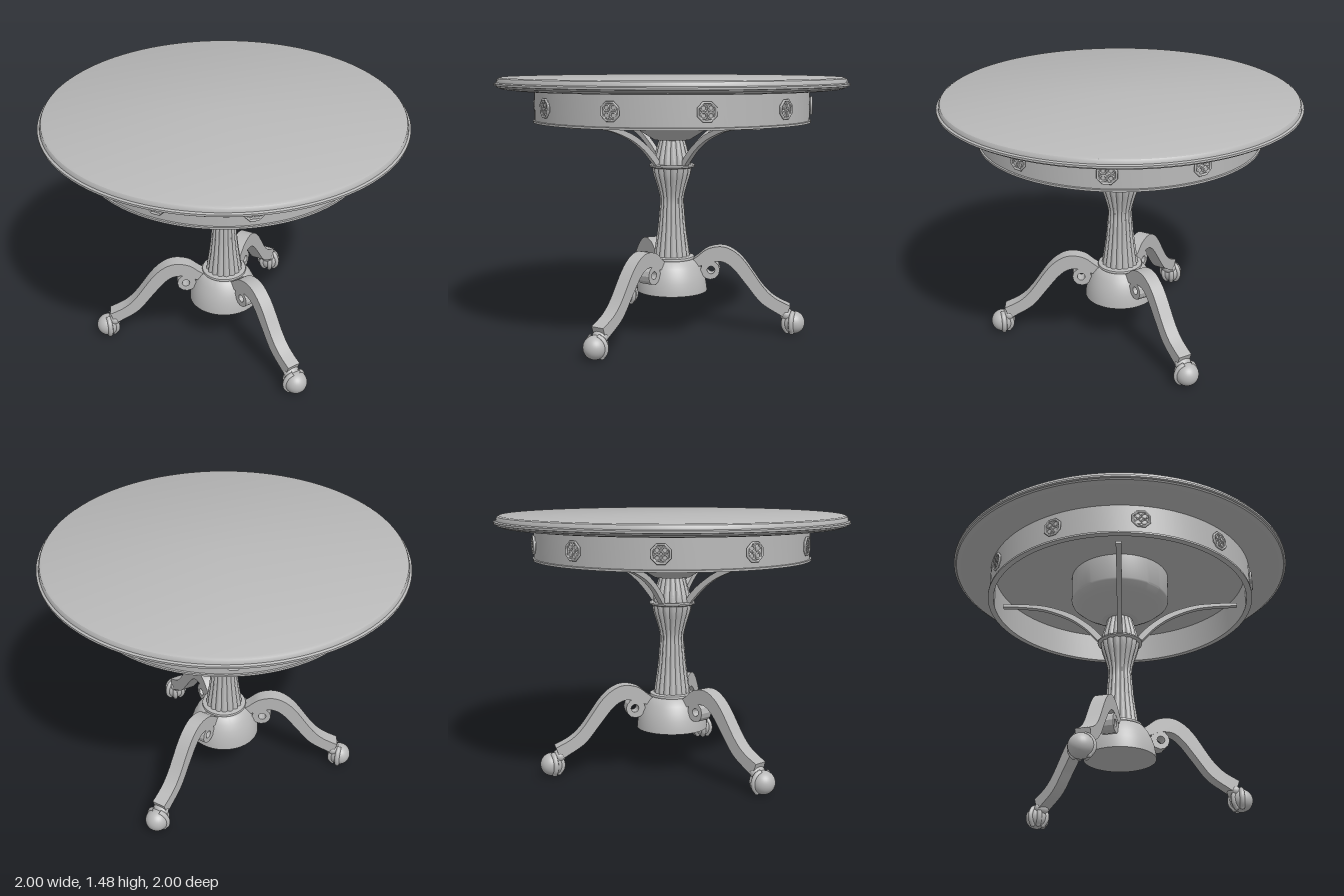
import * as THREE from 'three';
import { toCreasedNormals } from 'three/addons/utils/BufferGeometryUtils.js';

const wood = new THREE.MeshStandardMaterial({ color: 0xb8b8b8 });
wood.name = 'greyWood';

const vecs = (list) => list.map(([x, y]) => new THREE.Vector2(x, y));

function part(name, geometry, parent) {
  const mesh = new THREE.Mesh(geometry, wood);
  mesh.name = name;
  parent.add(mesh);
  return mesh;
}

// Turned part from [radius, height] pairs, listed from the bottom up
function turned(name, profile, parent) {
  return part(name, toCreasedNormals(new THREE.LatheGeometry(vecs(profile), 96), 0.5), parent);
}

// Flat plate of a shape, centred on its thickness
function plate(shape, width) {
  const geo = new THREE.ExtrudeGeometry(shape, { depth: width, bevelEnabled: false, curveSegments: 6 });
  geo.translate(0, 0, -width / 2);
  return toCreasedNormals(geo, 0.5);
}

// Curved bar between an upper and a returning lower edge
function curvedBar(upper, lower, width) {
  const shape = new THREE.Shape();
  shape.moveTo(...upper[0]);
  shape.splineThru(vecs(upper.slice(1)));
  shape.lineTo(...lower[0]);
  shape.splineThru(vecs(lower.slice(1)));
  shape.closePath();
  return plate(shape, width);
}

// Fluted shaft: a lathe whose radius ripples around the axis
function flutedShaft(name, controls, flutes, depth, parent) {
  const profile = new THREE.SplineCurve(vecs(controls)).getPoints(28);
  const geo = new THREE.LatheGeometry(profile, flutes * 8);
  const p = geo.attributes.position;
  for (let i = 0; i < p.count; i++) {
    const x = p.getX(i), z = p.getZ(i);
    const k = 1 - depth * (1 - Math.abs(Math.sin(Math.atan2(z, x) * flutes / 2)));
    p.setXYZ(i, x * k, p.getY(i), z * k);
  }
  part(name, toCreasedNormals(geo, 0.6), parent);
}

function createLeg() {
  const leg = new THREE.Group();
  leg.name = 'leg';
  part('legArch', curvedBar(
    [[0.1, 0.42], [0.15, 0.455], [0.21, 0.5], [0.29, 0.515], [0.36, 0.49], [0.43, 0.425],
      [0.53, 0.285], [0.6, 0.218], [0.69, 0.172]],
    [[0.665, 0.1], [0.62, 0.125], [0.52, 0.19], [0.43, 0.3], [0.36, 0.385], [0.3, 0.425],
      [0.23, 0.425], [0.17, 0.4], [0.1, 0.38]], 0.08), leg);

  // Scroll under the knee, with a small eye
  const ring = new THREE.Shape().absarc(0.225, 0.377, 0.056, 0, Math.PI * 2);
  ring.holes.push(new THREE.Path().absarc(0.23, 0.377, 0.023, 0, Math.PI * 2, true));
  part('legScroll', plate(ring, 0.078), leg);

  // Ball foot gripped by four claws from the inner side
  const c = new THREE.Vector3(0.71, 0.068, 0);
  part('footBall', new THREE.SphereGeometry(0.066, 32, 20), leg).position.copy(c);
  for (const azimuth of [-75, -26, 26, 75]) {
    const a = THREE.MathUtils.degToRad(180 + azimuth);
    const path = [15, 45, 80, 110, 140].map((d) => {
      const t = THREE.MathUtils.degToRad(d);
      return new THREE.Vector3(Math.sin(t) * Math.cos(a), Math.cos(t), Math.sin(t) * Math.sin(a))
        .multiplyScalar(0.064).add(c);
    });
    part('claw', new THREE.TubeGeometry(new THREE.CatmullRomCurve3(path), 16, 0.015, 8), leg);
    const tip = part('clawTip', new THREE.SphereGeometry(0.015, 10, 8), leg);
    tip.position.copy(path[4]);
  }
  const ankle = part('ankle', new THREE.SphereGeometry(0.05, 20, 14), leg);
  ankle.scale.set(0.75, 0.75, 0.95);
  ankle.position.set(0.668, 0.115, 0);
  return leg;
}

function createRosette() {
  const rosette = new THREE.Group();
  rosette.name = 'rosette';
  const disc = part('rosetteDisc', new THREE.CylinderGeometry(0.05, 0.05, 0.02, 8), rosette);
  disc.rotation.x = Math.PI / 2;
  disc.rotation.y = Math.PI / 8;
  const rim = part('rosetteRim', new THREE.TorusGeometry(0.05, 0.007, 6, 8), rosette);
  rim.position.z = 0.01;
  rim.rotation.z = Math.PI / 8;
  for (const x of [-1, 1]) for (const y of [-1, 1]) {
    const petal = part('rosettePetal', new THREE.TorusGeometry(0.016, 0.005, 6, 14), rosette);
    petal.position.set(x * 0.019, y * 0.019, 0.01);
  }
  return rosette;
}

export function createModel() {
  const table = new THREE.Group();
  table.name = 'pedestalTable';

  // Round top with moulded rim
  turned('tableTop', [[0, 1.415], [0.9, 1.415], [0.96, 1.422], [0.985, 1.432], [0.99, 1.44],
    [1, 1.442], [1, 1.453], [0.988, 1.458], [0.986, 1.47], [0.98, 1.48], [0.968, 1.486], [0, 1.486]], table);

  // Hollow apron with a bead along its lower edge
  turned('apron', [[0.755, 1.42], [0.755, 1.235], [0.788, 1.235], [0.788, 1.246], [0.78, 1.248], [0.78, 1.42]], table);
  for (let i = 0; i < 10; i++) {
    const mount = new THREE.Group();
    mount.name = 'rosetteMount';
    const rosette = createRosette();
    rosette.position.set(0, 1.327, 0.778);
    mount.add(rosette);
    mount.rotation.y = i * Math.PI / 5;
    table.add(mount);
  }

  // Bowl joining column and top
  turned('bowl', [[0, 1.13], [0.105, 1.13], [0.15, 1.158], [0.2, 1.19], [0.25, 1.22], [0.285, 1.25],
    [0.29, 1.26], [0.29, 1.42]], table);

  // Fluted column in two lengths with a ring between
  flutedShaft('columnLower', [[0.108, 0.44], [0.1, 0.5], [0.083, 0.62], [0.074, 0.72], [0.07, 0.79],
    [0.086, 0.86], [0.108, 0.93], [0.116, 0.98]], 16, 0.1, table);
  flutedShaft('columnUpper', [[0.112, 0.98], [0.106, 1.02], [0.09, 1.08], [0.072, 1.14]], 16, 0.1, table);
  turned('columnRing', [[0.05, 0.97], [0.122, 0.97], [0.131, 0.976], [0.131, 0.984], [0.122, 0.99], [0.05, 0.99]], table);

  // Bell-shaped base
  turned('base', [[0, 0.25], [0.205, 0.25], [0.203, 0.275], [0.195, 0.32], [0.182, 0.36], [0.163, 0.4],
    [0.14, 0.432], [0.128, 0.438], [0.13, 0.444], [0.128, 0.452], [0.115, 0.456], [0, 0.456]], table);

  // Four slender braces
  const brace = curvedBar(
    [[0.09, 0.99], [0.13, 1.045], [0.2, 1.11], [0.3, 1.175], [0.44, 1.222], [0.56, 1.236], [0.7, 1.24]],
    [[0.7, 1.222], [0.56, 1.215], [0.44, 1.196], [0.31, 1.145], [0.22, 1.085], [0.16, 1.025], [0.125, 0.985]], 0.03);
  for (let i = 0; i < 4; i++) {
    part('brace', brace, table).rotation.y = Math.PI / 4 + i * Math.PI / 2;
  }

  // Three legs, one pointing straight back
  for (let i = 0; i < 3; i++) {
    const leg = createLeg();
    leg.rotation.y = Math.PI / 2 + i * Math.PI * 2 / 3;
    table.add(leg);
  }
  return table;
}
